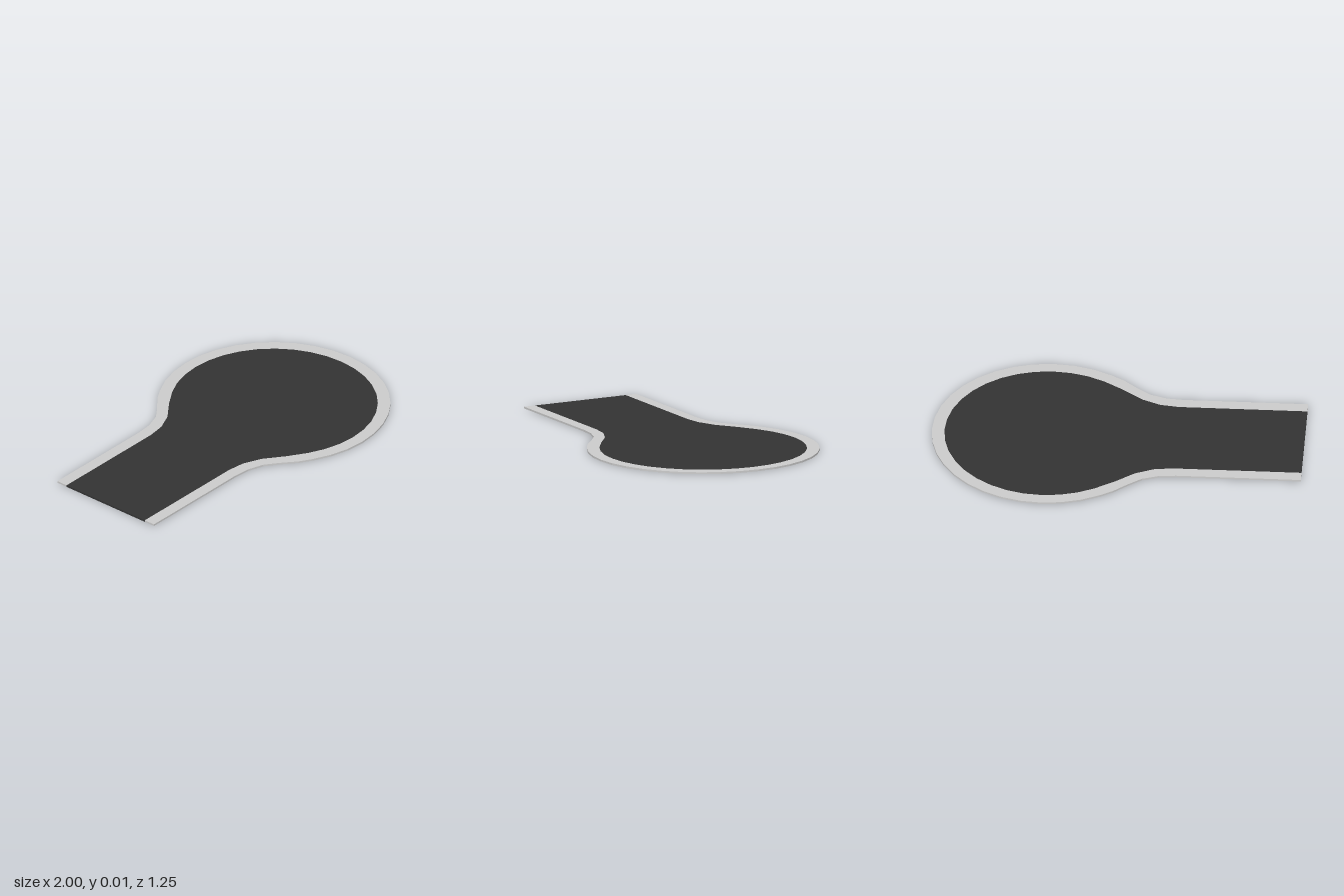
import * as THREE from 'three';

const THICK = 0.01;
const CENTRE = 0.38;

// Half outline: arc of the turning circle, then the flare and the straight edge
function halfOutline(radius, flare) {
  const pts = [];
  for (let deg = 0; deg <= 120; deg += 10) {
    const a = THREE.MathUtils.degToRad(deg);
    pts.push(new THREE.Vector2(CENTRE + (deg < 90 ? 0.62 - 0.625 + radius : radius) * Math.cos(a), radius * Math.sin(a)));
  }
  flare.forEach(([x, y]) => pts.push(new THREE.Vector2(x, y)));
  return pts;
}

const mirror = (pts) => pts.map((p) => new THREE.Vector2(p.x, -p.y));

// Flat slab lying on the ground
function slab(name, points, color) {
  const geo = new THREE.ExtrudeGeometry(new THREE.Shape(points), { depth: THICK, bevelEnabled: false });
  geo.rotateX(-Math.PI / 2);
  const mesh = new THREE.Mesh(geo, new THREE.MeshStandardMaterial({ color, flatShading: true }));
  mesh.name = name;
  return mesh;
}

export function createModel() {
  const group = new THREE.Group();
  group.name = 'roadEnd';

  const outer = halfOutline(0.625, [[0, 0.5], [-0.08, 0.432], [-0.15, 0.38], [-0.24, 0.35], [-0.33, 0.342], [-1, 0.342]]);
  const inner = halfOutline(0.557, [[0, 0.417], [-0.11, 0.333], [-0.21, 0.29], [-0.31, 0.277], [-1, 0.277]]);

  // Asphalt: straight road opening into the turning circle
  group.add(slab('roadSurface', [...inner, ...mirror(inner).reverse().slice(0, -1)], 0x333333));

  // Pavement: one continuous band around the road, open at the road's end
  const band = [
    ...mirror(outer).reverse(), ...outer.slice(1),
    ...[...inner].reverse(), ...mirror(inner).slice(1),
  ];
  group.add(slab('pavement', band, 0xcccccc));

  return group;
}
